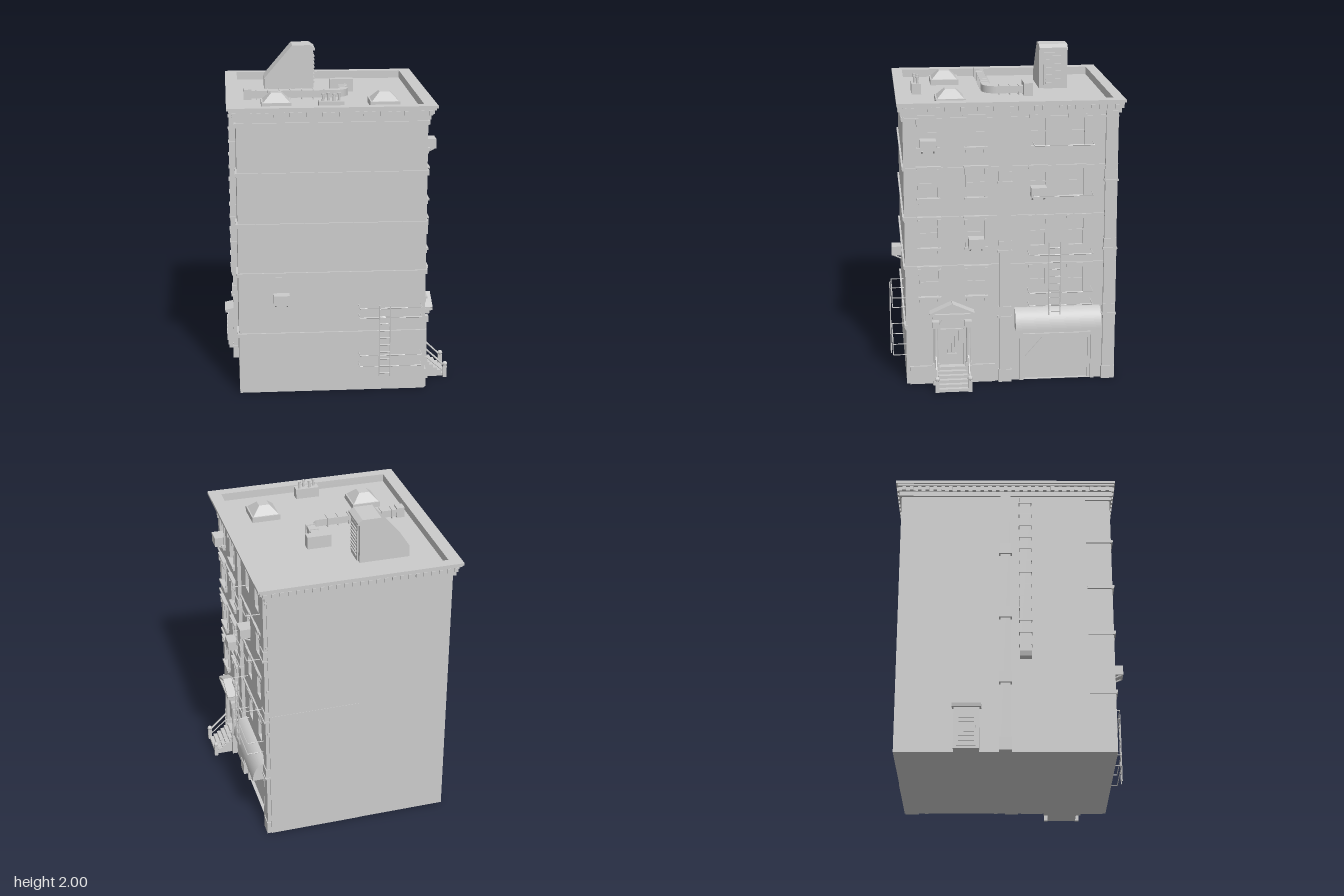
import * as THREE from 'three';

const mat = new THREE.MeshStandardMaterial({ color: 0xcccccc, flatShading: true });
const V = (x, y, z) => new THREE.Vector3(x, y, z);

function add(parent, name, geo, x = 0, y = 0, z = 0) {
  const m = new THREE.Mesh(geo, mat);
  m.name = name;
  m.position.set(x, y, z);
  parent.add(m);
  return m;
}
const box = (p, name, w, h, d, x, y, z) => add(p, name, new THREE.BoxGeometry(w, h, d), x, y, z);

function rod(p, name, a, b, r = 0.003) {
  const m = add(p, name, new THREE.CylinderGeometry(r, r, a.distanceTo(b), 5));
  m.position.copy(a).lerp(b, 0.5);
  m.quaternion.setFromUnitVectors(V(0, 1, 0), b.clone().sub(a).normalize());
}

const poly = (pts) => new THREE.Shape(pts.map(([x, y]) => new THREE.Vector2(x, y)));
const rect = (w, h, x = 0, y = 0) =>
  poly([[x - w / 2, y - h / 2], [x + w / 2, y - h / 2], [x + w / 2, y + h / 2], [x - w / 2, y + h / 2]]);
const extrude = (shape, depth) =>
  new THREE.ExtrudeGeometry(shape, { depth, bevelEnabled: false, curveSegments: 10 });

// Horizontal plate of any outline (shape y becomes z), hanging down from `top`
const plate = (p, name, shape, h, top) => add(p, name, extrude(shape, h).rotateX(Math.PI / 2), 0, top, 0);

function ring(p, name, hx, hz, bottom, top) {
  const s = rect(hx * 2, hz * 2);
  s.holes.push(rect(1.086, 1.228));
  plate(p, name, s, top - bottom, top);
}

// U-shaped handrail standing out from a wall at z = z0
function rail(p, x0, x1, y, z0, out) {
  const pts = [V(x0, y, z0), V(x0, y, z0 + out), V(x1, y, z0 + out), V(x1, y, z0)];
  for (let i = 0; i < 3; i++) rod(p, 'fireEscapeRail', pts[i], pts[i + 1]);
}
function ladder(p, x, y0, y1, z, w = 0.065) {
  for (const s of [-1, 1]) rod(p, 'ladderSide', V(x + s * w / 2, y0, z), V(x + s * w / 2, y1, z), 0.004);
  for (let y = y0 + 0.02; y < y1; y += 0.045) rod(p, 'ladderRung', V(x - w / 2, y, z), V(x + w / 2, y, z));
}
function airConditioner(p, x, y, z) {
  const g = new THREE.Group();
  g.name = 'airConditioner';
  g.position.set(x, y, z);
  p.add(g);
  box(g, 'unitBody', 0.095, 0.06, 0.08, 0, 0, 0.025);
  for (const s of [-1, 1]) rod(g, 'unitBracket', V(s * 0.035, -0.03, 0.055), V(s * 0.035, -0.055, 0), 0.005);
}
function pilaster(p, x, w, d, top) {
  box(p, 'pilaster', w, top, d, x, top / 2, d / 2);
  box(p, 'pilasterBase', w + 0.012, 0.08, d + 0.01, x, 0.04, d / 2);
  for (const y of [0.46, 0.88, 1.31]) {
    box(p, 'pilasterBlock', w + 0.008, 0.06, d + 0.012, x, y, d / 2);
    box(p, 'pilasterBlockCap', w + 0.018, 0.012, d + 0.024, x, y - 0.035, d / 2);
  }
}

function buildStreetFacade(f) {
  const cols = [[-0.498, 0.11], [-0.214, 0.11], [0.162, 0.09], [0.395, 0.09]];
  const rows = [0.56, 0.87, 1.18, 1.49];
  const wall = rect(1.29, 1.72, 0, 0.86);
  for (const [x, w] of cols) for (const y of rows) wall.holes.push(rect(w, 0.175, x, y + 0.0875));
  // Door arch and garage openings
  const dx = -0.366;
  const arch = poly([[dx - 0.07, 0.11], [dx + 0.07, 0.11], [dx + 0.07, 0.35]]);
  arch.absarc(dx, 0.35, 0.07, 0, Math.PI, false);
  wall.holes.push(arch, rect(0.43, 0.31, 0.284, 0.157));
  add(f, 'streetWall', extrude(wall, 0.02), 0, 0, -0.02);

  // Windows with hoods, sills and brackets
  cols.forEach(([x, w], c) => rows.forEach((y) => {
    box(f, 'windowBar', w, 0.008, 0.008, x, y + 0.088, -0.016);
    box(f, 'windowHood', w + 0.025, 0.025, 0.018, x, y + 0.182, 0.005);
    if (c < 2) {
      box(f, 'windowHoodCap', w + 0.04, 0.01, 0.03, x, y + 0.195, 0.01);
      box(f, 'windowSill', w + 0.03, 0.014, 0.03, x, y - 0.002, 0.01);
      for (const s of [-1, 1]) {
        box(f, 'windowJamb', 0.01, 0.175, 0.014, x + s * (w / 2 + 0.003), y + 0.088, 0.003);
        box(f, 'hoodBracket', 0.016, 0.035, 0.025, x + s * (w / 2 + 0.006), y + 0.165, 0.01);
        box(f, 'sillBracket', 0.014, 0.025, 0.02, x + s * w / 2, y - 0.018, 0.008);
      }
    }
  }));
  airConditioner(f, -0.498, 1.515, 0);
  airConditioner(f, -0.214, 0.905, 0);
  airConditioner(f, 0.162, 1.215, 0);
  for (const y of [0.755, 1.06, 1.365, 1.665]) box(f, 'stringCourse', 1.29, 0.012, 0.012, 0, y, 0.004);
  pilaster(f, -0.04, 0.07, 0.022, 1.7);
  pilaster(f, 0.602, 0.07, 0.022, 1.7);

  // Entrance: plinths, stoop, portico and panelled door
  box(f, 'plinth', 0.15, 0.115, 0.014, -0.55, 0.0575, 0.006);
  box(f, 'plinth', 0.14, 0.115, 0.014, -0.17, 0.0575, 0.006);
  for (let i = 0; i < 6; i++) {
    const d = 0.16 - i * 0.025;
    box(f, 'stoopStep', 0.18, 0.019, d, dx, 0.0095 + i * 0.019, d / 2);
  }
  box(f, 'doorRail', 0.14, 0.012, 0.012, dx, 0.34, -0.012);
  box(f, 'letterSlot', 0.06, 0.03, 0.01, dx, 0.17, -0.014);
  for (let i = -2; i <= 2; i++) box(f, 'doorBar', 0.007, 0.15, 0.01, dx + i * 0.022, 0.265, -0.014);
  for (const s of [-1, 1]) {
    const x = dx + s * 0.1;
    box(f, 'columnBase', 0.04, 0.12, 0.045, x, 0.06, 0.022);
    add(f, 'porticoColumn', new THREE.CylinderGeometry(0.013, 0.016, 0.26, 10), x, 0.25, 0.024);
    box(f, 'columnFoot', 0.038, 0.02, 0.04, x, 0.13, 0.022);
    box(f, 'columnCapital', 0.042, 0.04, 0.045, x, 0.39, 0.022);
    rod(f, 'stairRail', V(x, 0.19, 0.03), V(x, 0.075, 0.15), 0.006);
    rod(f, 'stairRailLower', V(x, 0.14, 0.03), V(x, 0.035, 0.15), 0.004);
    box(f, 'newelPost', 0.024, 0.075, 0.024, x, 0.0375, 0.156);
    add(f, 'newelBall', new THREE.SphereGeometry(0.016, 8, 6), x, 0.085, 0.156);
  }
  const trim = poly([[dx + 0.085, 0.35]]);
  trim.absarc(dx, 0.35, 0.085, 0, Math.PI, false);
  trim.absarc(dx, 0.35, 0.07, Math.PI, 0, true);
  add(f, 'doorArchTrim', extrude(trim, 0.012));
  box(f, 'keystone', 0.022, 0.04, 0.03, dx, 0.425, 0.012);
  box(f, 'entablature', 0.24, 0.025, 0.05, dx, 0.44, 0.025);
  box(f, 'pedimentShelf', 0.27, 0.014, 0.068, dx, 0.459, 0.034);
  add(f, 'pediment', extrude(poly([[-0.115, 0], [0.115, 0], [0, 0.05]]), 0.05), dx, 0.465, 0);
  for (const s of [-1, 1]) {
    box(f, 'pedimentSlope', 0.148, 0.014, 0.068, dx + s * 0.066, 0.496, 0.034).rotation.z = -s * 0.42;
  }

  // Garage door with frame, braces and awning
  for (const s of [-1, 1]) box(f, 'garageJamb', 0.022, 0.33, 0.016, 0.284 + s * 0.222, 0.165, 0.004);
  box(f, 'garageHeader', 0.466, 0.02, 0.02, 0.284, 0.325, 0.006);
  box(f, 'garageRail', 0.43, 0.022, 0.012, 0.284, 0.285, -0.014);
  for (const x of [0.079, 0.489]) box(f, 'garageStile', 0.02, 0.3, 0.012, x, 0.15, -0.014);
  box(f, 'garageBrace', 0.19, 0.014, 0.01, 0.145, 0.205, -0.014).rotation.z = 0.86;
  const quarter = poly([[0, 0.355], [0.09, 0.355]]);
  quarter.absellipse(0, 0.355, 0.09, 0.122, 0, Math.PI / 2, false);
  add(f, 'awning', extrude(quarter, 0.527).rotateY(-Math.PI / 2), 0.547, 0, 0);

  // Fire escape
  for (const y of [1.51, 1.2]) rail(f, 0.13, 0.487, y, 0, 0.09);
  for (const y of [0.84, 0.6, 0.52]) rail(f, 0.1, 0.487, y, 0, 0.105);
  ladder(f, 0.253, 0.46, 0.92, 0.11, 0.07);
}

function buildSideAndBack(b) {
  // Front wall bands, returning a short way round the left-hand corner
  for (const y of [0.37, 0.75, 1.055, 1.365, 1.665]) {
    box(b, 'band', 1.15, 0.014, 0.022, 0, y + 0.005, 0.645);
    box(b, 'bandLower', 1.14, 0.01, 0.014, 0, y - 0.007, 0.645);
    box(b, 'bandReturn', 0.02, 0.018, 0.16, -0.567, y, 0.573);
  }
  box(b, 'sideWindow', 0.095, 0.1, 0.006, -0.308, 0.685, 0.645);
  airConditioner(b, -0.308, 0.605, 0.645);
  for (const y of [0.55, 0.49, 0.25, 0.18]) rail(b, 0.16, 0.535, y, 0.645, 0.08);
  ladder(b, 0.31, 0.12, 0.57, 0.735);

  // Rear low panel
  box(b, 'rearPanel', 0.57, 0.88, 0.006, 0.28, 0.44, -0.644);

  // Far side: pilaster, ribbed duct and cellar hatch
  const side = new THREE.Group();
  side.name = 'farSide';
  side.rotation.y = -Math.PI / 2;
  side.position.x = -0.565;
  b.add(side);
  pilaster(side, 0.0, 0.06, 0.03, 1.7);
  const duct = poly([[0.01, 1.68], [-0.04, 1.66], [-0.04, 0.62], [-0.03, 0.59], [0.01, 0.58]]);
  add(b, 'wallDuct', extrude(duct, 0.07), -0.565, 0, 0.085);
  for (let y = 0.66; y < 1.66; y += 0.08) box(side, 'ductRib', 0.078, 0.008, 0.045, 0.12, y, 0.0225);
  box(side, 'hatchBody', 0.15, 0.255, 0.06, -0.225, 0.1275, 0.03);
  box(side, 'hatchLid', 0.17, 0.02, 0.09, -0.225, 0.268, 0.038).rotation.x = 0.2;
  box(side, 'hatchDoor', 0.11, 0.21, 0.01, -0.225, 0.12, 0.062);
  for (let i = 0; i < 6; i++) box(side, 'hatchSlat', 0.09, 0.012, 0.01, -0.225, 0.05 + i * 0.028, 0.068);
}

function buildRoof(b) {
  // Cornice: stepped rings with rows of modillions
  ring(b, 'frieze', 0.58, 0.66, 1.685, 1.715);
  ring(b, 'corniceBed', 0.59, 0.664, 1.715, 1.745);
  ring(b, 'corniceLip', 0.609, 0.672, 1.742, 1.756);
  ring(b, 'corniceSlab', 0.62, 0.68, 1.754, 1.77);
  for (const s of [-1, 1]) {
    for (let i = 0; i < 25; i++) box(b, 'modillion', 0.022, 0.026, 0.02, -0.576 + i * 0.048, 1.727, s * 0.664);
    for (let i = 0; i < 27; i++) box(b, 'modillion', 0.028, 0.026, 0.022, s * 0.59, 1.727, -0.63 + i * 0.0485);
  }

  // Stair bulkhead with sloping back and louvred door
  const head = poly([[-0.37, 1.71], [-0.06, 1.71], [-0.06, 1.965], [-0.045, 1.965], [-0.045, 1.98],
    [-0.075, 2], [-0.19, 2], [-0.37, 1.79]]);
  add(b, 'stairBulkhead', extrude(head, 0.18), 0, 0, -0.42);
  box(b, 'bulkheadDoor', 0.012, 0.23, 0.12, -0.058, 1.835, -0.33);
  for (let i = 0; i < 8; i++) box(b, 'doorLouvre', 0.014, 0.01, 0.095, -0.052, 1.755 + i * 0.024, -0.33);

  // Bent roof duct with flanges and end box
  const path = new THREE.Shape();
  path.moveTo(-0.49, 0.085);
  path.lineTo(0.05, 0.085);
  path.absarc(0.05, 0.045, 0.04, Math.PI / 2, 0, true);
  path.lineTo(0.09, -0.12);
  path.lineTo(0.14, -0.12);
  path.absarc(0.05, 0.045, 0.09, 0, Math.PI / 2, false);
  path.lineTo(-0.49, 0.135);
  plate(b, 'roofDuct', path, 0.045, 1.775);
  for (let x = -0.43; x < 0.05; x += 0.07) box(b, 'ductFlange', 0.007, 0.06, 0.06, x, 1.75, 0.11);
  for (const z of [0.03, -0.035, -0.09]) box(b, 'ductFlange', 0.06, 0.06, 0.007, 0.115, 1.75, z);
  box(b, 'ductEnd', 0.05, 0.07, 0.06, -0.485, 1.75, 0.11);
  box(b, 'ductBox', 0.15, 0.085, 0.055, 0.115, 1.757, -0.145);

  // Skylights
  for (const x of [-0.318, 0.335]) {
    box(b, 'skylightCurb', 0.18, 0.04, 0.18, x, 1.735, 0.35);
    const top = new THREE.CylinderGeometry(0.045, 0.115, 0.05, 4).rotateY(Math.PI / 4);
    add(b, 'skylightGlass', top, x, 1.78, 0.35);
  }

  // Chimney with four pots
  box(b, 'chimney', 0.15, 0.07, 0.06, 0, 1.75, 0.542);
  [[-0.048, 0.008], [-0.016, -0.01], [0.016, 0.01], [0.048, -0.008]].forEach(([x, z]) => {
    add(b, 'chimneyPot', new THREE.CylinderGeometry(0.007, 0.009, 0.04, 8), x, 1.803, 0.542 + z);
    add(b, 'potCap', new THREE.CylinderGeometry(0.01, 0.01, 0.01, 8), x, 1.825, 0.542 + z);
  });
}

export function createModel() {
  const model = new THREE.Group();
  model.name = 'apartmentBuilding';
  const b = new THREE.Group();
  b.name = 'building';
  b.rotation.y = 0.17;
  b.position.set(-0.045, 0, -0.005);
  model.add(b);

  box(b, 'mainWalls', 1.11, 1.72, 1.29, -0.01, 0.86, 0);
  const f = new THREE.Group();
  f.name = 'streetFacade';
  f.rotation.y = Math.PI / 2;
  f.position.x = 0.565;
  b.add(f);
  buildStreetFacade(f);
  buildSideAndBack(b);
  buildRoof(b);
  return model;
}
